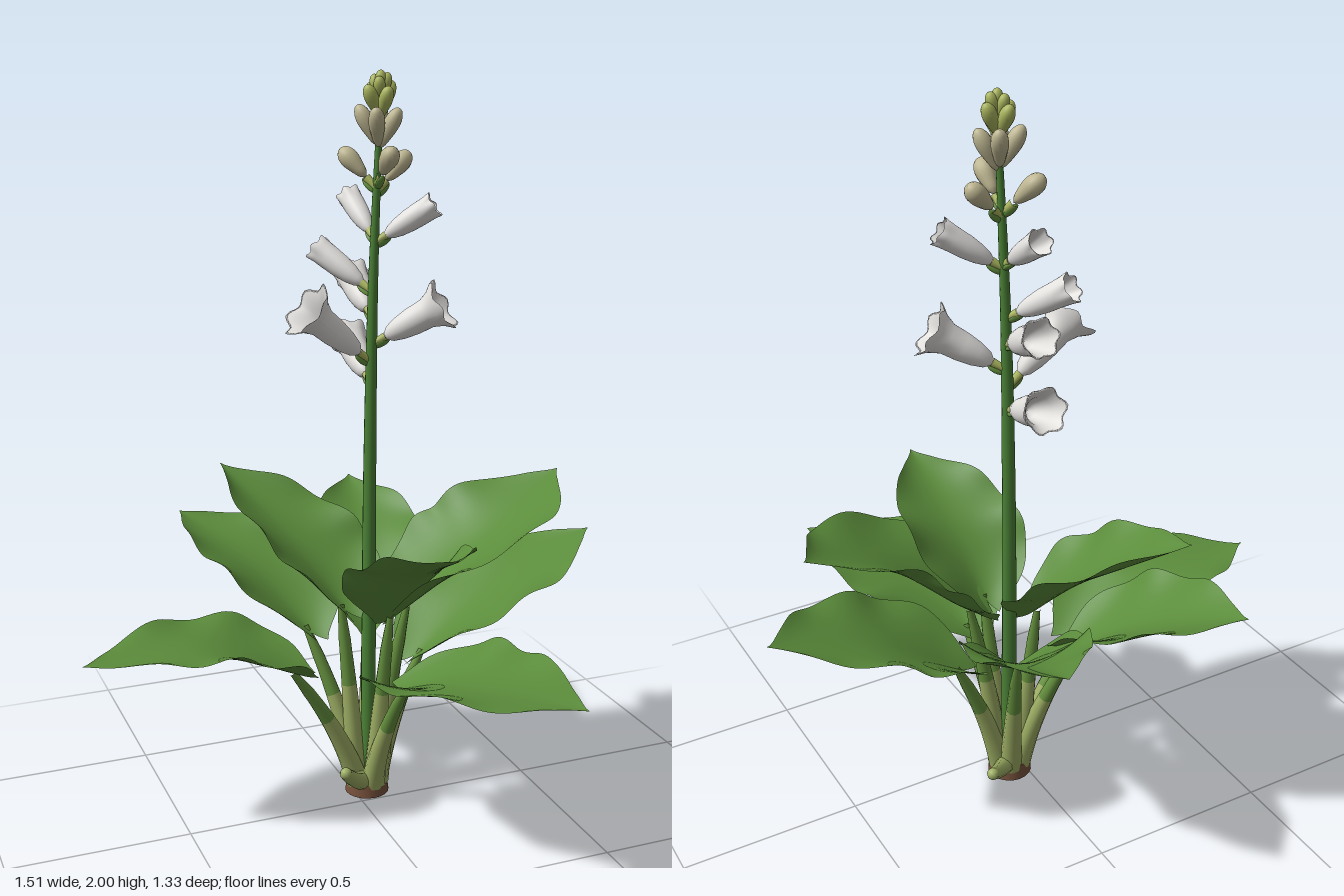
import * as THREE from 'three';

const mat = (name, color, side = THREE.FrontSide) => {
  const m = new THREE.MeshStandardMaterial({ color, side });
  m.name = name;
  return m;
};
const V = (a) => new THREE.Vector3(...a);
const UP = new THREE.Vector3(0, 1, 0);
const CROWN = new THREE.Vector3(0.04, 0, -0.065);

// Tube whose radius follows a rule along its length
function taperedTube(curve, segments, sides, radius) {
  const geo = new THREE.TubeGeometry(curve, segments, 1, sides);
  const pos = geo.attributes.position;
  const p = new THREE.Vector3();
  for (let i = 0; i <= segments; i++) {
    const c = curve.getPointAt(i / segments);
    for (let j = 0; j <= sides; j++) {
      const k = i * (sides + 1) + j;
      p.fromBufferAttribute(pos, k).sub(c).multiplyScalar(radius(i / segments)).add(c);
      pos.setXYZ(k, p.x, p.y, p.z);
    }
  }
  return geo;
}

// Half-width of a heart-shaped blade from stalk to tip
const OUTLINE = [0.1, 0.54, 0.82, 0.96, 1, 0.98, 0.92, 0.8, 0.61, 0.3, 0];
function outline(t) {
  const f = Math.min(t * 10, 9.999), i = Math.floor(f);
  const at = (k) => OUTLINE[Math.max(0, Math.min(10, k))];
  const [a, b, c, d] = [at(i - 1), at(i), at(i + 1), at(i + 2)], u = f - i;
  return Math.max(0, b + 0.5 * u * (c - a + u * (2 * a - 5 * b + 4 * c - d + u * (3 * (b - c) + d - a))));
}

// Blade along a curved midrib: funnel-like at the stalk, flatter at the tip, wavy rim
function blade(base, mid, tip, half, cup, phase) {
  const curve = new THREE.CatmullRomCurve3([base, mid, tip]);
  const rows = 44, cols = 16, pts = [], index = [];
  for (let i = 0; i <= rows; i++) {
    const t = i / rows;
    const p = curve.getPoint(t), tan = curve.getTangent(t);
    const side = new THREE.Vector3().crossVectors(tan, UP).normalize();
    const up = new THREE.Vector3().crossVectors(side, tan);
    const rise = cup + 0.5 * (1 - t) ** 3;
    for (let j = 0; j <= cols; j++) {
      const s = (j / cols) * 2 - 1, a = Math.abs(s);
      const w = half * outline(t);
      const wave = 0.013 * a ** 3 * Math.sin(t * 19 + phase + s) * Math.sin(Math.PI * t);
      const q = p.clone()
        .addScaledVector(side, s * w)
        .addScaledVector(up, rise * w * a ** 1.7 + wave)
        .addScaledVector(tan, -0.25 * half * a * (1 - t) ** 4);
      pts.push(q.x, q.y, q.z);
      if (i < rows && j < cols) {
        const k = i * (cols + 1) + j, n = k + cols + 1;
        index.push(k, k + 1, n, k + 1, n + 1, n);
      }
    }
  }
  const geo = new THREE.BufferGeometry();
  geo.setAttribute('position', new THREE.Float32BufferAttribute(pts, 3));
  geo.setIndex(index);
  geo.computeVertexNormals();
  return geo;
}

// Trumpet with a six-lobed flared mouth, base at the origin, opening along +y
function trumpet(length, flare) {
  const body = Math.min(0.04, flare * 0.9);
  const profile = [[0.01, 0], [body * 0.55, 0.08], [body * 0.78, 0.25], [body * 0.94, 0.48], [body, 0.72],
    [body + (flare - body) * 0.4, 0.88], [flare, 1], [flare * 0.9, 0.985], [body * 0.85, 0.8], [body * 0.5, 0.45], [0.001, 0.4]];
  const geo = new THREE.LatheGeometry(profile.map(([r, y]) => new THREE.Vector2(r, y * length)), 36);
  const pos = geo.attributes.position;
  for (let i = 0; i < pos.count; i++) {
    const x = pos.getX(i), y = pos.getY(i), z = pos.getZ(i);
    const k = Math.max(0, y / length - 0.75) * 4;
    const lobe = Math.cos(6 * Math.atan2(z, x)) * k;
    pos.setXYZ(i, x * (1 + 0.08 * lobe), y + 0.1 * flare * lobe, z * (1 + 0.08 * lobe));
  }
  geo.computeVertexNormals();
  return geo;
}

export function createModel() {
  const leaf = mat('leaf green', 0x5b8c3b, THREE.DoubleSide);
  const stalk = mat('stalk green', 0x66923f);
  const pale = mat('pale stalk base', 0x9fb065);
  const scape = mat('stem green', 0x4b8236);
  const white = mat('petal white', 0xe2e0dd, THREE.DoubleSide);
  const cream = mat('cream bud', 0xbfb792);
  const young = mat('young bud green', 0xabb65e);
  const brown = mat('crown brown', 0x75503b);

  const model = new THREE.Group();
  const add = (name, geo, material, parent = model) => {
    const mesh = new THREE.Mesh(geo, material);
    mesh.name = name;
    parent.add(mesh);
    return mesh;
  };
  const aim = (mesh, from, dir) => {
    mesh.position.copy(from);
    mesh.quaternion.setFromUnitVectors(UP, dir.clone().normalize());
  };

  // Crown at the ground
  add('crown', new THREE.CylinderGeometry(0.056, 0.062, 0.042, 20).translate(CROWN.x, 0.021, CROWN.z), brown);

  // Leaves: stalk top, middle of the midrib, tip, half-width, cupping
  const leaves = [
    [[-0.16, 0.39, -0.05], [-0.41, 0.495, -0.065], [-0.76, 0.51, -0.05], 0.178, 0.16],
    [[0.065, 0.38, 0.11], [0.15, 0.48, 0.36], [0.33, 0.51, 0.665], 0.222, 0.14],
    [[0.18, 0.39, -0.06], [0.43, 0.56, -0.065], [0.75, 0.69, -0.10], 0.215, 0.14],
    [[0.09, 0.45, -0.19], [0.172, 0.63, -0.41], [0.215, 0.757, -0.66], 0.165, 0.28],
    [[-0.08, 0.45, -0.19], [-0.19, 0.61, -0.39], [-0.34, 0.715, -0.62], 0.187, 0.28],
    [[0.12, 0.54, -0.03], [0.35, 0.735, 0.005], [0.63, 0.89, -0.08], 0.22, 0.23],
    [[-0.01, 0.54, -0.10], [-0.10, 0.70, -0.24], [-0.25, 0.89, -0.485], 0.175, 0.36],
    [[0.07, 0.54, 0.01], [0.09, 0.71, 0.17], [0.10, 0.84, 0.405], 0.165, 0.32],
  ];
  leaves.forEach(([b, m, t, half, cup], i) => {
    const group = new THREE.Group();
    group.name = 'leaf' + (i + 1);
    model.add(group);
    const base = V(b);
    add('blade', blade(base, V(m), V(t), half, cup, i * 1.7), leaf, group);
    // Stalk, pale towards the ground
    const out = base.clone().sub(CROWN).setY(0);
    const start = CROWN.clone().addScaledVector(out.clone().normalize(), 0.03).setY(0.03);
    const bend = start.clone().addScaledVector(out, 0.28).setY(base.y * 0.55);
    const end = base.clone().lerp(V(m), 0.1);
    const geo = taperedTube(new THREE.QuadraticBezierCurve3(start, bend, end), 20, 10,
      (u) => 0.032 - 0.015 * Math.min(1, u * 1.3) - 0.008 * Math.max(0, u - 0.8) * 5);
    const split = 11 * 60;
    geo.addGroup(0, split, 0);
    geo.addGroup(split, Infinity, 1);
    add('leafStalk', geo, [pale, stalk], group);
  });

  // Short cut stubs beside the crown
  for (const end of [[-0.07, 0.125, 0.055], [0.16, 0.11, -0.185]]) {
    const tip = V(end);
    const from = CROWN.clone().setY(0.03);
    const bend = from.clone().lerp(tip, 0.5).setY(0.055);
    add('stub', taperedTube(new THREE.QuadraticBezierCurve3(from, bend, tip), 10, 10, (u) => 0.03 - 0.013 * u), pale);
    const cap = add('stubEnd', new THREE.SphereGeometry(0.017, 10, 8), pale);
    cap.position.copy(tip);
  }

  // Flower stem
  const stem = new THREE.CatmullRomCurve3([V([0.045, 0.02, -0.07]), V([0.055, 0.5, -0.09]),
    V([0.062, 1, -0.1]), V([0.07, 1.45, -0.1]), V([0.088, 1.95, -0.095])]);
  add('flowerStem', taperedTube(stem, 50, 12, (u) => 0.021 - 0.014 * u ** 2), scape);
  const onStem = (y) => {
    let u = y / 1.97;
    for (let k = 0; k < 3; k++) u += (y - stem.getPointAt(Math.min(1, u)).y) / 1.95;
    return stem.getPointAt(Math.min(1, u));
  };

  // Flower stalk and small bract at the stem
  const foot = (from, to, k) => {
    const joint = from.clone().lerp(to, k);
    add('pedicel', taperedTube(new THREE.LineCurve3(from, joint), 4, 8, (u) => 0.008 + 0.004 * u), young);
    const bract = add('bract', new THREE.SphereGeometry(1, 10, 8).scale(0.012, 0.026, 0.007), stalk);
    aim(bract, from.clone().lerp(to, k * 0.7).add(new THREE.Vector3(0, -0.012, 0)), to.clone().sub(from));
    return joint;
  };

  // Open flowers: height on stem, mouth centre, mouth radius
  const flowers = [
    [1.18, [0.08, 1.27, -0.31], 0.056],
    [1.24, [-0.12, 1.395, -0.09], 0.076],
    [1.29, [0.232, 1.40, -0.01], 0.07],
    [1.36, [0.08, 1.45, -0.285], 0.048],
    [1.43, [-0.04, 1.535, -0.23], 0.037],
    [1.56, [0.215, 1.66, -0.035], 0.035],
    [1.57, [0.055, 1.67, -0.24], 0.033],
  ];
  for (const [y, mouth, flare] of flowers) {
    const from = onStem(y), to = V(mouth);
    const joint = foot(from, to, 0.2);
    aim(add('flower', trumpet(joint.distanceTo(to), flare), white), joint, to.clone().sub(joint));
  }

  // Closed buds: foot, tip, radius
  const bud = (from, to, r, material) => {
    const length = from.distanceTo(to);
    const prof = [[0.001, 0], [0.45, 0.12], [0.7, 0.3], [0.97, 0.58], [0.9, 0.8], [0.5, 0.95], [0.001, 1]];
    const geo = new THREE.LatheGeometry(
      new THREE.SplineCurve(prof.map(([a, b]) => new THREE.Vector2(a * r, b * length))).getPoints(14), 14);
    aim(add('bud', geo, material), from, to.clone().sub(from));
  };
  const closed = [
    [1.69, [0.18, 1.79, -0.12]],
    [1.70, [0.005, 1.80, -0.17]],
    [1.71, [0.085, 1.81, 0.0]],
  ];
  for (const [y, end] of closed) {
    const from = onStem(y), to = V(end);
    bud(foot(from, to, 0.28), to, 0.026, cream);
  }

  // Rings of young buds at the top: stem height, tip height, reach, count, radius, colour
  const rings = [
    [1.80, 1.905, 0.055, 4, 0.022, cream],
    [1.875, 1.96, 0.042, 4, 0.019, young],
    [1.915, 1.985, 0.022, 3, 0.016, young],
  ];
  rings.forEach(([y, top, reach, count, r, material], n) => {
    for (let i = 0; i < count; i++) {
      const angle = (i / count) * Math.PI * 2 + 0.5 + n * 0.8;
      const from = onStem(y + i * 0.004);
      bud(from, new THREE.Vector3(from.x + Math.cos(angle) * reach, top + i * 0.004, from.z + Math.sin(angle) * reach), r, material);
    }
  });
  bud(onStem(1.93), new THREE.Vector3(0.088, 2.0, -0.095), 0.015, young);

  return model;
}
